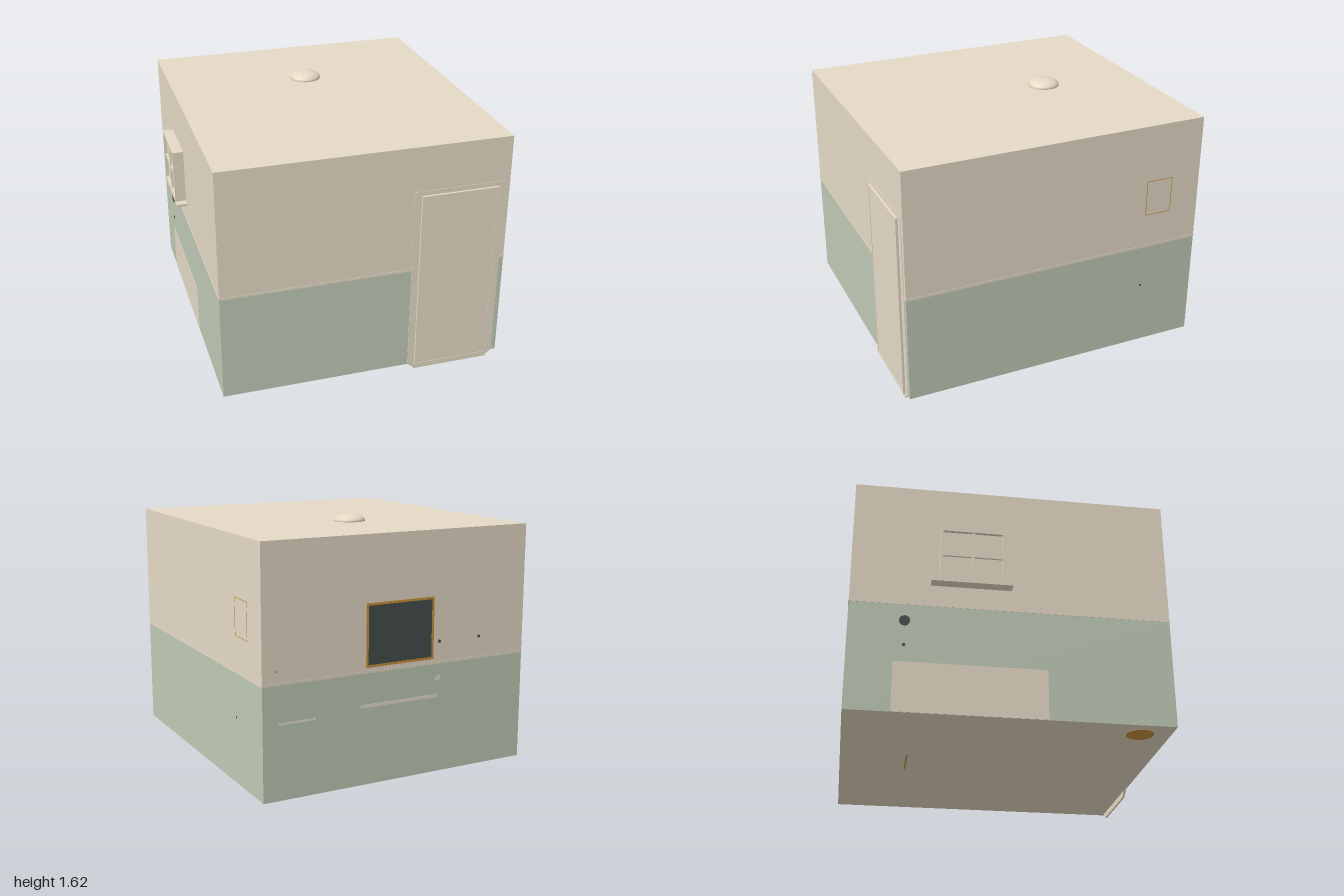
import * as THREE from 'three';

const mat = (name, color) => Object.assign(new THREE.MeshStandardMaterial({ color }), { name });

export function createModel() {
  const cream = mat('cream', 0xe5d9c5);
  const sage = mat('sage', 0xbfcab6);
  const brass = mat('brass', 0xc8903a);
  const dark = mat('dark', 0x464e49);
  const pale = mat('pale', 0xefe6d6);

  const room = new THREE.Group();
  room.name = 'room';

  const add = (name, geometry, material, x = 0, y = 0, z = 0, parent = room) => {
    const m = new THREE.Mesh(geometry, material);
    m.name = name;
    m.position.set(x, y, z);
    parent.add(m);
    return m;
  };
  // box given by its minimum and maximum on each axis
  const box = (name, material, [x0, x1], [y0, y1], [z0, z1], parent = room) =>
    add(name, new THREE.BoxGeometry(x1 - x0, y1 - y0, z1 - z0), material,
      (x0 + x1) / 2, (y0 + y1) / 2, (z0 + z1) / 2, parent);
  const outline = points => points.map(p => new THREE.Vector2(...p));

  const L = -0.88, R = 0.95, B = -0.997, F = 0.98;

  // walls: sage below with a cream underside, cream above, a thin rail between
  box('lowerWalls', [sage, sage, sage, cream, sage, sage], [L, R], [0.04, 0.74], [B, F]);
  box('upperWalls', cream, [L, R], [0.74, 1.57], [B, F]);
  box('wallRail', cream, [L - 0.002, R + 0.002], [0.737, 0.752], [B - 0.002, F + 0.002]);

  // ceiling lamp: flattened dome on a brass ring
  const lamp = new THREE.Group();
  lamp.name = 'ceilingLamp';
  lamp.position.set(0.032, 1.575, -0.35);
  room.add(lamp);
  add('lampDome', new THREE.SphereGeometry(0.102, 40, 20), cream, 0, 0, 0, lamp).scale.y = 0.4;
  add('lampRing', new THREE.CylinderGeometry(0.09, 0.09, 0.006, 40), brass, 0, -0.003, 0, lamp);

  // door with surround, raised edge and tapered sill
  const door = new THREE.Group();
  door.name = 'door';
  room.add(door);
  box('doorSurround', cream, [0.33, 0.92], [0.04, 1.28], [F, F + 0.003], door);
  box('doorLeaf', cream, [0.385, 0.865], [0.045, 1.24], [F, 0.995], door);
  const rim = new THREE.Shape(outline([[0.375, 0.035], [0.875, 0.035], [0.875, 1.25], [0.375, 1.25]]));
  rim.holes.push(new THREE.Path(outline([[0.386, 0.046], [0.386, 1.239], [0.864, 1.239], [0.864, 0.046]])));
  add('doorRim', new THREE.ExtrudeGeometry(rim, { depth: 0.018, bevelEnabled: false }), cream, 0, 0, F, door);
  const sill = new THREE.Shape(outline(
    [[0.33, 0.04], [0.36, 0.02], [0.375, 0], [0.875, 0], [0.89, 0.02], [0.92, 0.04]]));
  add('doorSill', new THREE.ExtrudeGeometry(sill, { depth: 0.012, bevelEnabled: false }), cream, 0, 0, F - 0.008, door);

  // projecting window on the -x wall
  const win = new THREE.Group();
  win.name = 'window';
  room.add(win);
  const depth = [-0.95, L];
  box('windowSill', cream, depth, [0.88, 0.897], [-0.51, -0.01], win);
  box('windowHead', cream, depth, [1.235, 1.25], [-0.46, -0.06], win);
  box('windowFoot', cream, depth, [0.897, 0.912], [-0.46, -0.06], win);
  for (const z of [-0.46, -0.075]) box('windowJamb', cream, depth, [0.912, 1.235], [z, z + 0.015], win);
  box('windowPane', cream, [-0.93, L], [0.912, 1.235], [-0.445, -0.075], win);
  box('windowMullion', cream, [-0.942, L], [0.912, 1.235], [-0.27, -0.25], win);
  box('windowTransom', cream, [-0.942, L], [1.063, 1.083], [-0.445, -0.075], win);

  // low panel and round fittings on the -x wall
  box('lowPanel', cream, [L - 0.002, L], [0.042, 0.36], [-0.72, 0.205]);
  for (const [y, z, r] of [[0.63, -0.66, 0.033], [0.47, -0.66, 0.01]]) {
    add('sideFitting', new THREE.CylinderGeometry(r, r, 0.008, 24), dark, L, y, z).rotation.z = Math.PI / 2;
  }

  // dark panel with brass frame on the back wall
  box('backPanel', dark, [-0.19, 0.26], [0.78, 1.15], [B - 0.002, B]);
  for (const y of [0.772, 1.147]) box('backFrame', brass, [-0.202, 0.272], [y, y + 0.015], [B - 0.003, B]);
  for (const x of [-0.202, 0.257]) box('backFrame', brass, [x, x + 0.015], [0.772, 1.162], [B - 0.003, B]);

  // pale bars and small knobs on the back wall
  box('shortBar', pale, [0.61, 0.85], [0.5, 0.512], [B - 0.002, B]);
  box('longBar', pale, [-0.24, 0.31], [0.525, 0.545], [B - 0.002, B]);
  box('smallTag', pale, [-0.255, -0.225], [0.635, 0.665], [B - 0.001, B]);
  for (const [x, y, r, material] of [[-0.245, 0.88, 0.011, dark], [-0.54, 0.88, 0.01, dark], [0.86, 0.82, 0.006, brass]]) {
    add('backKnob', new THREE.CylinderGeometry(r, r, 0.005, 16), material, x, y, B).rotation.x = Math.PI / 2;
  }

  // thin brass outline and dark dot on the +x wall
  for (const y of [0.965, 1.196]) box('sideOutline', brass, [R, R + 0.001], [y, y + 0.004], [-0.8, -0.62]);
  for (const z of [-0.8, -0.624]) box('sideOutline', brass, [R, R + 0.001], [0.965, 1.2], [z, z + 0.004]);
  box('sideDot', dark, [R, R + 0.002], [0.456, 0.468], [-0.624, -0.612]);

  // brass details under the floor
  add('floorDisc', new THREE.CylinderGeometry(0.085, 0.085, 0.004, 32), brass, -0.73, 0.04, 0.79);
  box('floorStrip', brass, [-0.17, 0.114], [0.038, 0.04], [-0.58, -0.57]);

  return room;
}
